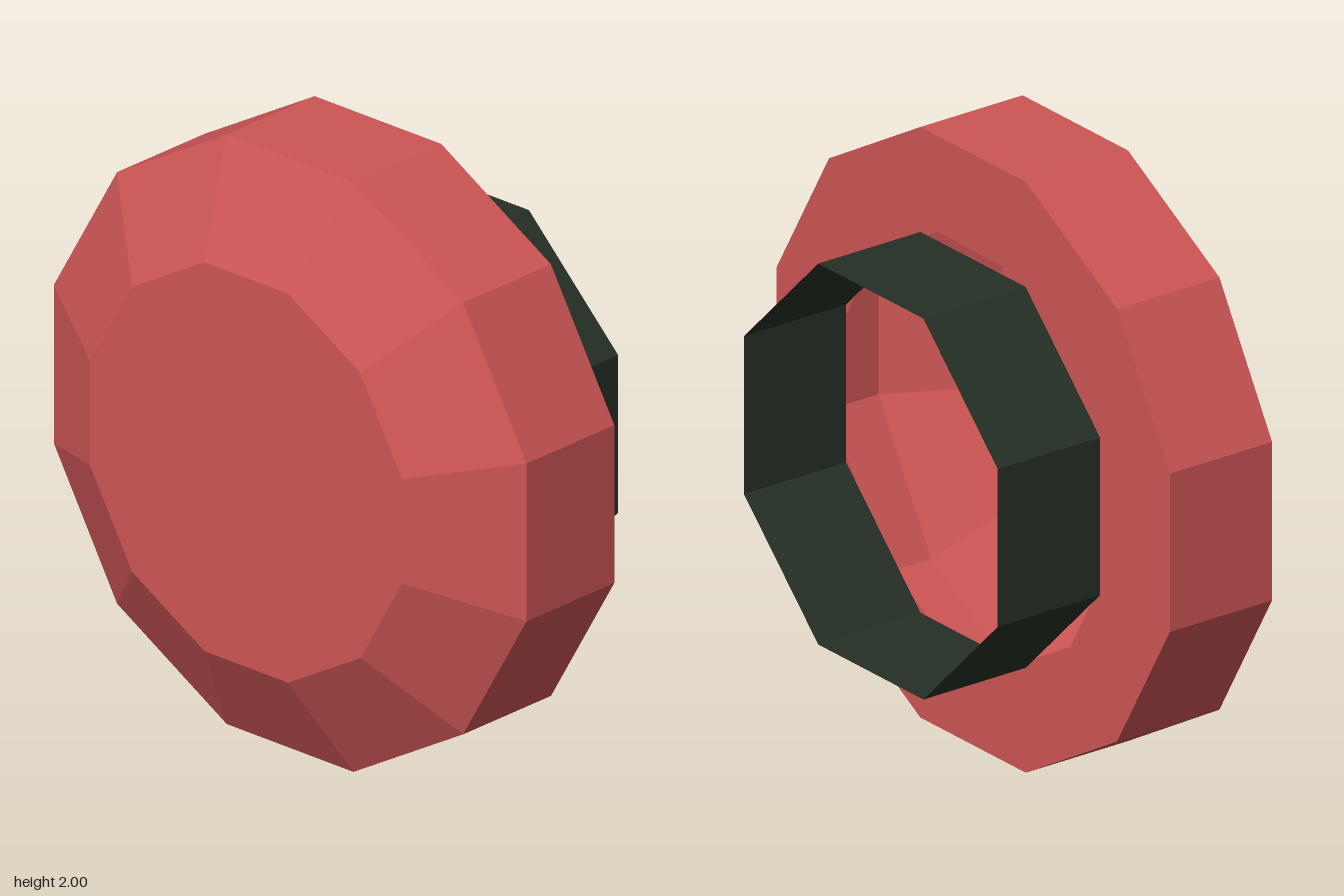
import * as THREE from 'three';

const CENTER_Y = 1;

// Faceted open shell turned around the z axis; profile is [apothem, z] from back to front
function facetedShell(profile, sides) {
  const k = 1 / Math.cos(Math.PI / sides);
  const points = profile.map(([r, z]) => new THREE.Vector2(r * k, z));
  const geometry = new THREE.LatheGeometry(points, sides, Math.PI / sides).toNonIndexed();
  geometry.rotateX(Math.PI / 2);
  geometry.computeVertexNormals();
  return geometry;
}

export function createModel() {
  const red = new THREE.MeshStandardMaterial({ color: 0xcd5555, side: THREE.DoubleSide, flatShading: true });
  red.name = 'red';
  const darkGreen = new THREE.MeshStandardMaterial({ color: 0x253026, side: THREE.DoubleSide, flatShading: true });
  darkGreen.name = 'dark green';

  const group = new THREE.Group();
  group.name = 'knob';
  const add = (name, geometry, material) => {
    const mesh = new THREE.Mesh(geometry, material);
    mesh.name = name;
    mesh.position.y = CENTER_Y;
    group.add(mesh);
    return mesh;
  };

  // Hollow twelve-sided cap: back ring, rim wall and front bevel
  add('capShell', facetedShell([[0.675, -0.1], [1, -0.1], [1, 0.3], [0.66, 0.5]], 12), red);

  // Flat front closing the cap
  const face = new THREE.CircleGeometry(0.66 / Math.cos(Math.PI / 12), 12, Math.PI / 12);
  add('capFront', face, red).position.z = 0.5;

  // Thin eight-sided collar, open at both ends
  add('collar', facetedShell([[0.645, -0.5], [0.645, -0.1]], 8), darkGreen);

  return group;
}
